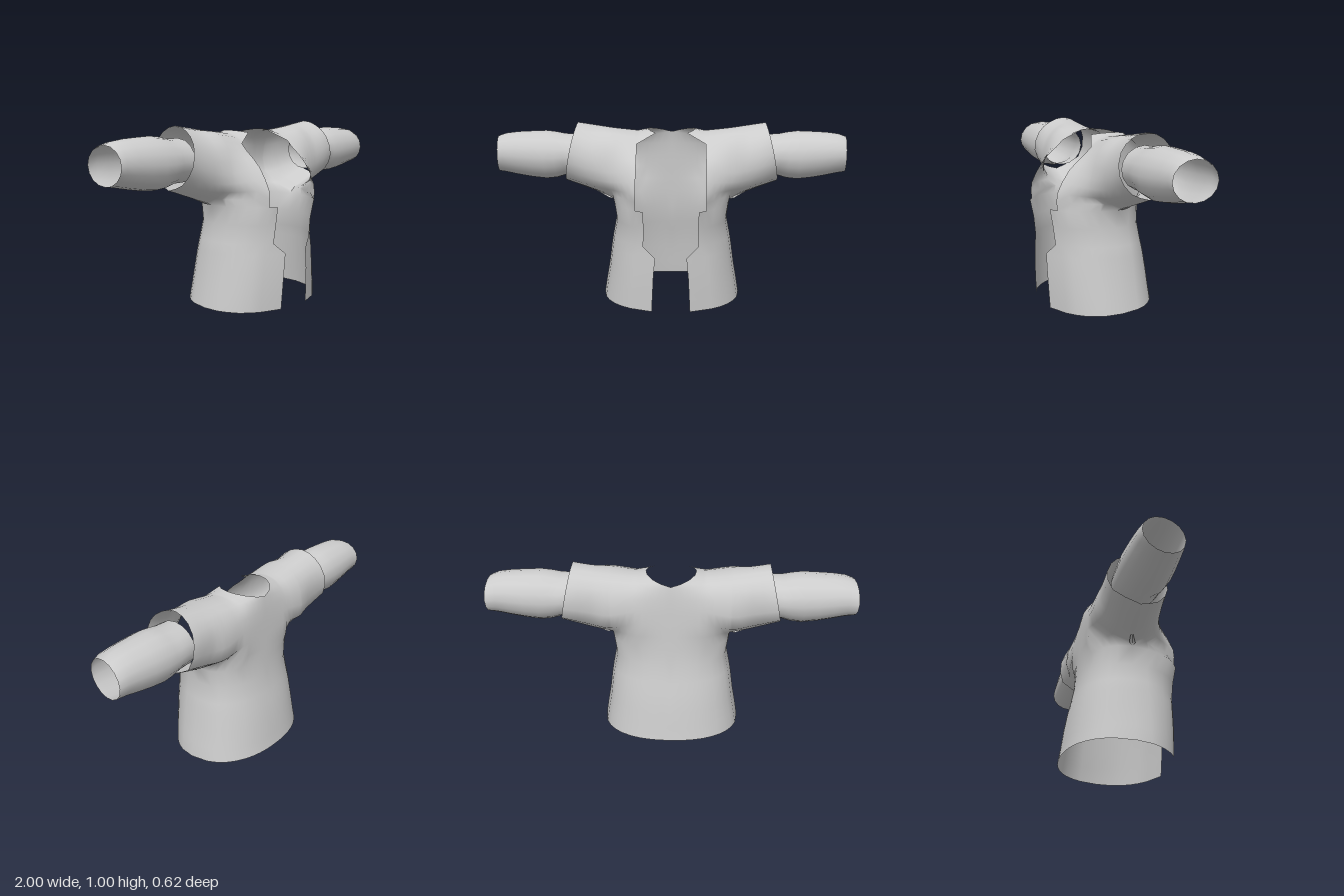
import * as THREE from 'three';
import { mergeVertices } from 'three/addons/utils/BufferGeometryUtils.js';

const V = (x, y, z) => new THREE.Vector3(x, y, z);
const ROWS = 18;      // steps from front armpit over the shoulder to the back armpit
const COLLAR = 7;     // row where the front edge meets the neck
const NECK_BACK = 13; // row that reaches the middle of the back neck

// Torso levels: y, half width, front depth, back depth, half width of the front opening
const LEVELS = [
  [0.57, 0.33, 0.355, 0.22, 0.15], [0.47, 0.315, 0.335, 0.226, 0.145],
  [0.37, 0.335, 0.32, 0.245, 0.15], [0.31, 0.345, 0.325, 0.26, 0.085],
  [0.2, 0.36, 0.325, 0.28, 0.095], [0.1, 0.378, 0.32, 0.293, 0.1],
  [0.01, 0.392, 0.315, 0.305, 0.105],
];

// Shoulder profiles as [z, y], from front armpit over the top to back armpit
const PROFILES = [
  [0.19, [[0.29, 0.57], [0.29, 0.66], [0.22, 0.78], [0.13, 0.86], [0.05, 0.93],
    [-0.06, 0.955], [-0.15, 0.93], [-0.2, 0.86], [-0.215, 0.72], [-0.2, 0.57]]],
  [0.33, [[0, 0.57], [0.14, 0.65], [0.155, 0.75], [0.12, 0.87], [0.05, 0.95],
    [-0.06, 0.97], [-0.15, 0.94], [-0.205, 0.85], [-0.2, 0.69], [0, 0.57]]],
  [0.43, [[-0.03, 0.61], [0.09, 0.66], [0.13, 0.76], [0.11, 0.87], [0.04, 0.95],
    [-0.06, 0.985], [-0.15, 0.95], [-0.2, 0.86], [-0.18, 0.7], [-0.03, 0.61]]],
  [0, [[-0.04, 0.67], [0.06, 0.705], [0.12, 0.8], [0.1, 0.91], [0.03, 0.975],
    [-0.06, 1.0], [-0.15, 0.965], [-0.205, 0.87], [-0.185, 0.74], [-0.04, 0.67]]],
];

// Depth of the torso ring at a fraction f of its half width
function ringZ(level, f, back) {
  const p = back ? 2.3 : 2;
  const k = Math.pow(Math.max(0, 1 - Math.pow(Math.min(1, f), p)), 1 / p);
  return back ? -level[3] * k : level[2] * k;
}

// Adds a grid of points as triangles; side -1 mirrors it
function addGrid(out, grid, side) {
  const tri = (a, b, c) => {
    for (const p of side > 0 ? [a, b, c] : [a, c, b]) out.push(p.x * side, p.y, p.z);
  };
  for (let i = 0; i < grid.length - 1; i++) {
    for (let j = 0; j < grid[i].length - 1; j++) {
      tri(grid[i][j], grid[i + 1][j], grid[i + 1][j + 1]);
      tri(grid[i][j], grid[i + 1][j + 1], grid[i][j + 1]);
    }
  }
}

function smoothGeometry(positions) {
  const raw = new THREE.BufferGeometry();
  raw.setAttribute('position', new THREE.Float32BufferAttribute(positions, 3));
  const geometry = mergeVertices(raw, 1e-4);
  geometry.computeVertexNormals();
  return geometry;
}

// Shoulder and wide upper sleeve, lofted outward along x
function sleeveGrid() {
  const curves = PROFILES.map(([x, pts], n) => new THREE.CatmullRomCurve3(
    pts.map(([z, y]) => V(n === 3 ? 0.6 - 0.21 * (y - 0.67) : x, y, z)), false, 'catmullrom'));
  const rails = [];
  for (let j = 0; j <= ROWS; j++) {
    rails.push(new THREE.CatmullRomCurve3(curves.map(c => c.getPoint(j / ROWS)), false, 'catmullrom'));
  }
  const third = 1 / 3;
  return [0, 0.1, 0.18, 0.25, 0.3, third, 0.42, 0.55, 0.67, 0.83, 1].map(u => {
    const row = rails.map(r => r.getPoint(u));
    if (u <= third) {
      for (const j of [0, ROWS]) {
        const x = Math.min(row[j].x, 0.33);
        row[j].set(x, 0.57, ringZ(LEVELS[0], u === third ? 1 : x / 0.33, j > 0));
      }
    }
    return row;
  });
}

// Yoke from the neck hole and the middle of the back out to the shoulder
function yokeGrid(outer) {
  const steps = 5, grid = [];
  for (let s = 0; s <= steps; s++) {
    const k = s / steps, row = [];
    for (let j = COLLAR; j <= ROWS; j++) {
      let inner;
      if (j <= NECK_BACK) {
        const a = THREE.MathUtils.lerp(0.7, Math.PI, (j - COLLAR) / (NECK_BACK - COLLAR));
        inner = V(0.135 * Math.sin(a), 0.93 + 0.035 * Math.sin(a), -0.06 + 0.135 * Math.cos(a));
      } else {
        const d = (j - NECK_BACK) / (ROWS - NECK_BACK);
        inner = V(0, 0.93 - 0.36 * d, -0.195 - 0.025 * Math.sqrt(d));
      }
      const p = inner.clone().lerp(outer[j], k);
      if (j >= NECK_BACK) p.z = inner.z + (outer[j].z - inner.z) * k * k;
      row.push(p);
    }
    grid.push(row);
  }
  return grid;
}

// Lower torso, hung from the points along the armpit line
function torsoGrid(sleeve, yoke) {
  const under = sleeve.slice(0, 6);
  const front = under.map(r => r[0]);
  const back = under.slice(0, 5).reverse().map(r => r[ROWS]);
  const middle = yoke.slice(0, -1).reverse().map(r => r[r.length - 1]);
  const top = [...front, ...back, ...middle];
  return LEVELS.map((level, n) => {
    const [y, w, , , open] = level;
    const hem = z => (n === LEVELS.length - 1 ? Math.max(0, 0.01 - 0.05 * z) : y);
    const place = (f, isBack) => {
      const z = ringZ(level, f, isBack);
      return V(f * w, hem(z), z);
    };
    const row = n === 0 ? top.map(p => p.clone())
      : top.map((p, i) => place(i === 5 ? 1 : p.x / 0.33, i > 5));
    return [place(open / w, false), ...row];
  });
}

// Narrow lower sleeve: x, centre y, half height, half depth
function lowerSleeveGrid() {
  const rings = [[0.52, 0.82, 0.116, 0.13], [0.6, 0.82, 0.118, 0.135], [0.65, 0.817, 0.131, 0.138],
    [0.71, 0.817, 0.138, 0.14], [0.79, 0.82, 0.132, 0.136], [0.87, 0.825, 0.123, 0.129],
    [0.94, 0.828, 0.111, 0.122], [0.985, 0.823, 0.1, 0.115]];
  const sides = 16;
  return rings.map(([x, cy, ry, rz], n) => Array.from({ length: sides + 1 }, (_, i) => {
    const a = (i % sides) / sides * Math.PI * 2;
    const tilt = n === rings.length - 1 ? -0.12 * rz * Math.sin(a) : 0;
    return V(x + tilt, cy - ry * Math.cos(a), -0.047 + rz * Math.sin(a));
  }));
}

export function createModel() {
  const group = new THREE.Group();
  const cloth = new THREE.MeshStandardMaterial({ color: 0xcccccc, side: THREE.DoubleSide });
  cloth.name = 'light grey cloth';

  // Open jacket with wide upper sleeves
  const sleeve = sleeveGrid();
  const yoke = yokeGrid(sleeve[0]);
  const torso = torsoGrid(sleeve, yoke);
  const body = [];
  for (const side of [1, -1]) for (const g of [sleeve, yoke, torso]) addGrid(body, g, side);
  const jacket = new THREE.Mesh(smoothGeometry(body), cloth);
  jacket.name = 'jacketBody';
  group.add(jacket);

  // Separate lower sleeves
  for (const side of [1, -1]) {
    const positions = [];
    addGrid(positions, lowerSleeveGrid(), side);
    const mesh = new THREE.Mesh(smoothGeometry(positions), cloth);
    mesh.name = side > 0 ? 'leftLowerSleeve' : 'rightLowerSleeve';
    group.add(mesh);
  }
  return group;
}
